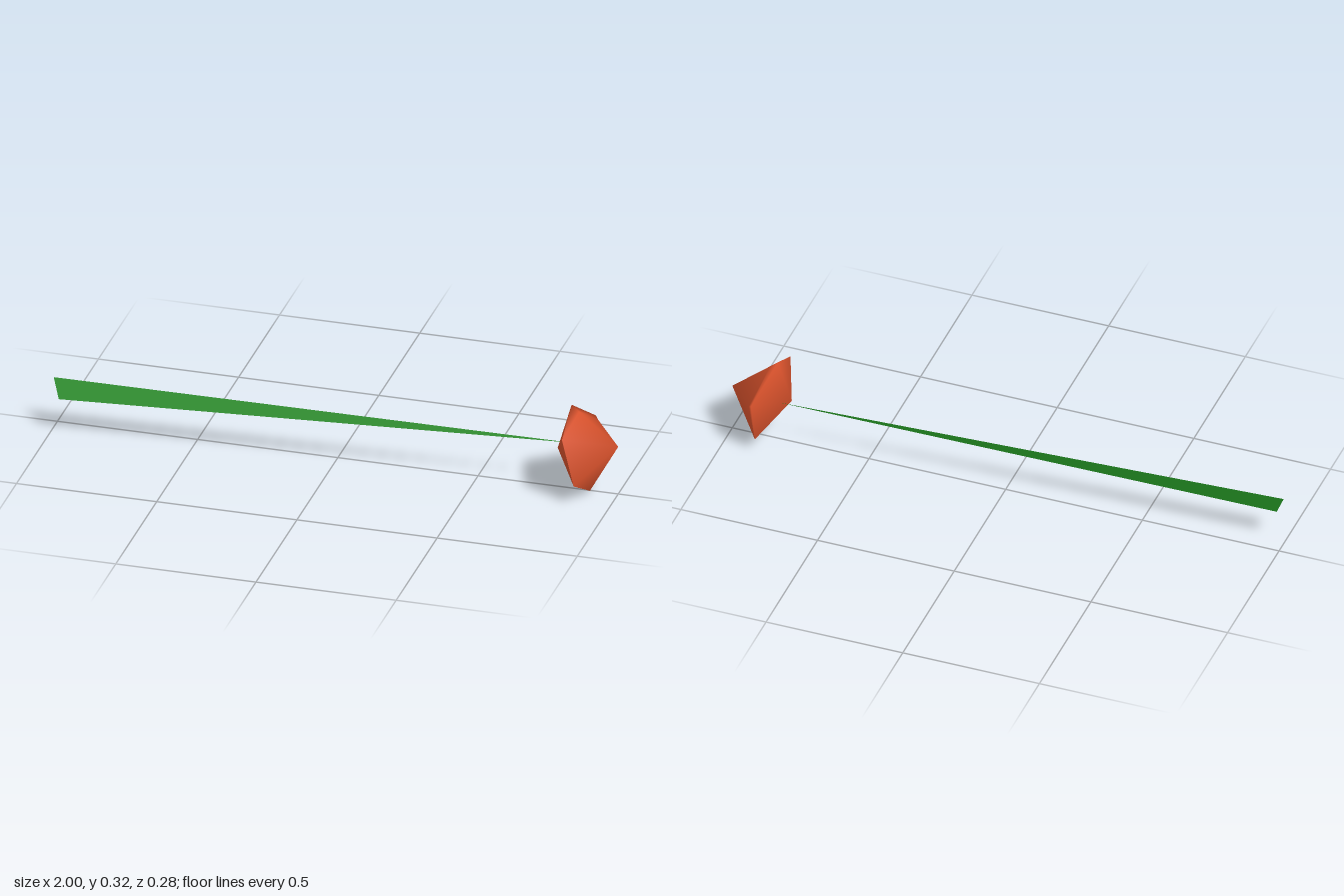
import * as THREE from 'three';

// Indexed surface from corner points and triangles
function surface(name, points, faces, color, flatShading) {
  const geometry = new THREE.BufferGeometry();
  geometry.setAttribute('position', new THREE.Float32BufferAttribute(points.flat(), 3));
  geometry.setIndex(faces.flat());
  geometry.computeVertexNormals();
  const material = new THREE.MeshStandardMaterial({ color, flatShading, side: THREE.DoubleSide });
  const mesh = new THREE.Mesh(geometry, material);
  mesh.name = name;
  return mesh;
}

// Three-sided stem tapering to a point inside the flower
function makeStem() {
  const base = [[-1, 0.19, 0.045], [-0.97, 0.13, 0.087], [-0.975, 0.13, 0.044]];
  const faces = [[0, 2, 1]];
  for (let i = 0; i < 3; i++) faces.push([i, (i + 1) % 3, 3]);
  return surface('stem', [...base, [0.83, 0.165, -0.015]], faces, 0x228b22, true);
}

// Six-cornered bud: a pointed back, an outer rim, and a pointed front face
function makeFlower() {
  const rim = [
    [0.835, 0.32, 0.004], [0.84, 0.25, 0.14], [0.88, 0.075, 0.133],
    [0.9, 0, 0.004], [0.88, 0.052, -0.1], [0.88, 0.218, -0.138],
  ];
  const n = rim.length;
  // The front rim is set in slightly along the top
  const frontRim = rim.map((p) => [...p]);
  frontRim[0] = [0.862, 0.297, 0.004];
  frontRim[5] = [0.892, 0.208, -0.126];

  const back = 2 * n, tip = back + 1;
  const faces = [];
  for (let i = 0; i < n; i++) {
    const j = (i + 1) % n;
    faces.push([back, j, i], [tip, n + i, n + j]);
    faces.push([i, j, n + j], [i, n + j, n + i]);
  }
  const points = [...rim, ...frontRim, [0.79, 0.157, 0.02], [1, 0.18, 0]];
  return surface('flower', points, faces, 0xd9522c, false);
}

export function createModel() {
  const group = new THREE.Group();
  group.name = 'flowerOnStem';
  group.add(makeStem(), makeFlower());
  return group;
}
